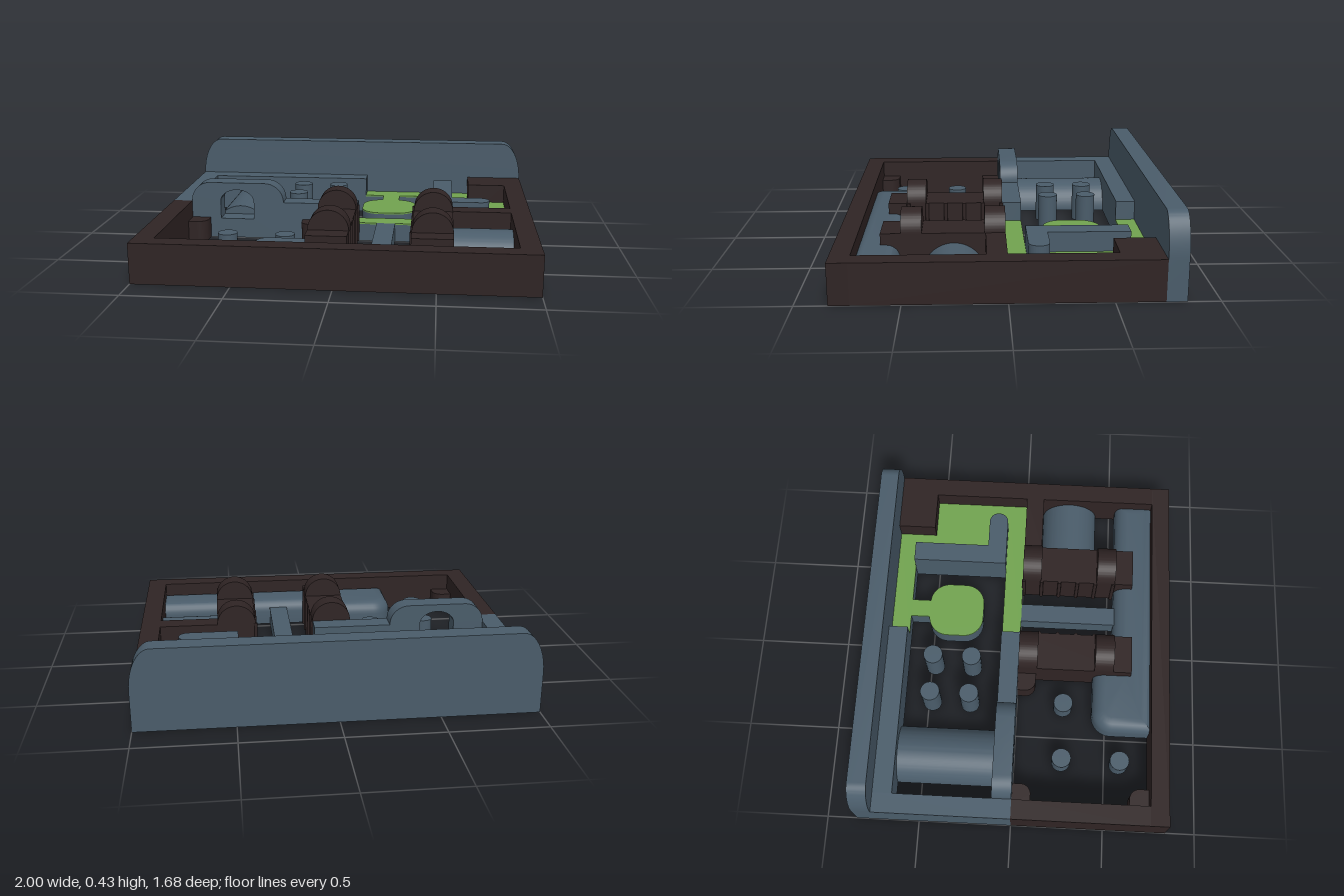
import * as THREE from 'three';
import { toCreasedNormals } from 'three/addons/utils/BufferGeometryUtils.js';

export function createModel() {
  const model = new THREE.Group();
  const mat = (name, color) => {
    const m = new THREE.MeshStandardMaterial({ color });
    m.name = name;
    return m;
  };
  const slate = mat('slate blue', 0x4a5c6a);
  const dark = mat('dark brown', 0x2f2424);
  const green = mat('grass green', 0x71a34f);
  const H = 0.21, L = 0.105; // full and half height

  const add = (name, geo, material, x = 0, y = 0, z = 0) => {
    const mesh = new THREE.Mesh(geo, material);
    mesh.name = name;
    mesh.position.set(x, y, z);
    model.add(mesh);
    return mesh;
  };
  // Box given by its limits
  const block = (name, m, x0, x1, z0, z1, y1 = H, y0 = 0) =>
    add(name, new THREE.BoxGeometry(x1 - x0, y1 - y0, z1 - z0), m, (x0 + x1) / 2, (y0 + y1) / 2, (z0 + z1) / 2);
  // Closed outline; each point is [x, y, corner radius]
  const outline = (pts) => {
    const s = new THREE.Shape();
    pts.forEach(([x, y, r = 0], i) => {
      const near = (q) => {
        const d = Math.hypot(q[0] - x, q[1] - y);
        return [x + (q[0] - x) * r / d, y + (q[1] - y) * r / d];
      };
      const a = near(pts[(i + pts.length - 1) % pts.length]);
      const b = near(pts[(i + 1) % pts.length]);
      if (i) s.lineTo(...a); else s.moveTo(...a);
      if (r) s.bezierCurveTo(a[0] + (x - a[0]) * 0.55, a[1] + (y - a[1]) * 0.55,
        b[0] + (x - b[0]) * 0.55, b[1] + (y - b[1]) * 0.55, ...b);
    });
    s.closePath();
    return s;
  };
  const extrude = (shape, depth, opts = {}) =>
    new THREE.ExtrudeGeometry(shape, { depth, bevelEnabled: false, curveSegments: 12, ...opts });
  // Plan outline in [x, z, radius], raised from y0 to y1
  const plan = (name, m, pts, y0, y1) => {
    const geo = extrude(outline(pts.map(([x, z, r]) => [x, -z, r])), y1 - y0);
    geo.rotateX(-Math.PI / 2);
    return add(name, toCreasedNormals(geo, 0.6), m, 0, y0, 0);
  };
  const halfRound = (r, length) => {
    const s = new THREE.Shape();
    s.absarc(0, 0, r, 0, Math.PI, false);
    s.closePath();
    return toCreasedNormals(extrude(s, length, { curveSegments: 28 }), 0.6);
  };

  // Outer frame
  block('frontWall', dark, -1, 1, 0.74, 0.84);
  block('rightFrontWall', dark, -1, -0.895, 0, 0.74);
  block('leftWall', dark, 0.895, 1, -0.74, 0.74);
  block('backCornerBlock', dark, 0.68, 0.895, -0.74, -0.53);
  block('leftCrossWall', dark, 0.58, 0.895, 0, 0.1);
  block('rightBackWall', slate, -1, -0.895, -0.74, 0);
  block('backLedge', slate, -0.895, 0.05, -0.74, -0.635);
  block('crossWall', slate, -0.37, 0.05, -0.105, 0);

  // Tall back wall with rounded shoulders
  const back = new THREE.Shape();
  back.moveTo(-1, 0);
  back.lineTo(1, 0);
  back.lineTo(1, H);
  back.absellipse(0.89, H, 0.11, 0.215, 0, Math.PI / 2, false);
  back.absellipse(-0.89, H, 0.11, 0.215, Math.PI / 2, Math.PI, false);
  back.closePath();
  add('backWall', toCreasedNormals(extrude(back, 0.1), 0.6), slate, 0, 0, -0.84);

  // Arched wall with a window
  const arch = outline([[-0.895, 0], [-0.37, 0], [-0.37, 0.318, 0.105], [-0.895, 0.318, 0.105]]);
  const windowHole = new THREE.Path();
  windowHole.moveTo(-0.73, 0.11);
  windowHole.lineTo(-0.73, H);
  windowHole.absellipse(-0.635, H, 0.095, 0.068, Math.PI, 0, true);
  windowHole.lineTo(-0.54, 0.11);
  windowHole.closePath();
  arch.holes.push(windowHole);
  add('archedWall', toCreasedNormals(extrude(arch, 0.105), 0.6), slate, 0, 0, -0.105);

  // Lower platform with green turf
  const platforms = [
    ['backPlatform', 0.05, 0.68, -0.74, -0.635],
    ['sidePlatform', 0.58, 0.895, -0.635, -0.105],
    ['frontPlatform', 0.05, 0.895, -0.105, 0],
    ['neck', 0.16, 0.26, -0.635, -0.52],
  ];
  for (const [name, x0, x1, z0, z1] of platforms) {
    block(name, slate, x0, x1, z0, z1, L - 0.008);
    block(name + 'Turf', green, x0, x1, z0, z1, L, L - 0.008);
  }
  const island = [[0.052, -0.53, 0.11], [0.052, -0.22, 0.11], [0.365, -0.22, 0.11], [0.365, -0.53, 0.11]];
  plan('island', slate, island, 0, L - 0.008);
  plan('islandTurf', green, island, L - 0.008, L);

  // Raised L-shaped walkway with a rounded end
  plan('walkway', slate, [[0.47, -0.635], [0.47, -0.105], [0.79, -0.105, 0.052],
    [0.79, -0.212, 0.052], [0.58, -0.212], [0.58, -0.635]], 0, H);

  // Round posts
  for (const [x, z, h] of [[-0.32, -0.48, H], [-0.105, -0.48, H], [-0.32, -0.265, H], [-0.105, -0.265, H],
    [-0.635, 0.26, L], [-0.32, 0.26, L], [-0.635, 0.58, L]]) {
    add('post', new THREE.CylinderGeometry(0.053, 0.053, h, 24), slate, x, h / 2, z);
  }

  // Half-round mounds
  add('backMound', halfRound(0.158, 0.53), slate, -0.635, 0, -0.635);
  const sideMound = add('sideMound', halfRound(0.158, 0.315), slate, 0.58, 0, 0.26);
  sideMound.rotation.y = Math.PI / 2;

  // Front mound with soft upper edges
  const b = 0.07;
  const moundPlan = outline([[-0.475, -0.76], [0.93, -0.76], [0.93, -0.53], [-0.1, -0.53],
    [-0.1, -0.422], [-0.475, -0.422, 0.11]]);
  const mound = extrude(moundPlan, 0.15 - b,
    { bevelEnabled: true, bevelSize: b, bevelOffset: -b, bevelThickness: b, bevelSegments: 6 });
  mound.rotateX(-Math.PI / 2);
  const p = mound.attributes.position;
  for (let i = 0; i < p.count; i++) p.setY(i, Math.max(p.getY(i), 0.003));
  add('frontMound', toCreasedNormals(mound, 0.6), slate);
  block('centreBar', slate, 0.158, 0.262, 0, 0.6, L, 0.004);

  // Twin dark blocks with domed ridges and thin ribs on the inner sides
  for (const [x, side] of [[-0.055, 1], [0.475, -1]]) {
    block('towerBlock', dark, x - 0.106, x + 0.106, 0, 0.63);
    for (const z of [0, 0.422]) add('domedRidge', halfRound(0.106, 0.105), dark, x, H, z);
    for (let i = 0; i < 6; i++) {
      add('rib', new THREE.CylinderGeometry(0.01, 0.01, H, 10), dark, x + side * 0.106, H / 2, 0.005 + i * 0.103);
    }
  }

  // Rounded corner supports
  for (const [x0, x1, z0, z1, i] of [[-0.895, -0.79, 0, 0.1, 2], [-0.895, -0.79, 0.635, 0.74, 3],
    [-0.26, -0.16, 0, 0.1, 1]]) {
    const pts = [[x0, z0], [x0, z1], [x1, z1], [x1, z0]];
    pts[i].push(0.055);
    plan('cornerSupport', dark, pts, 0, L + 0.01);
  }
  return model;
}
